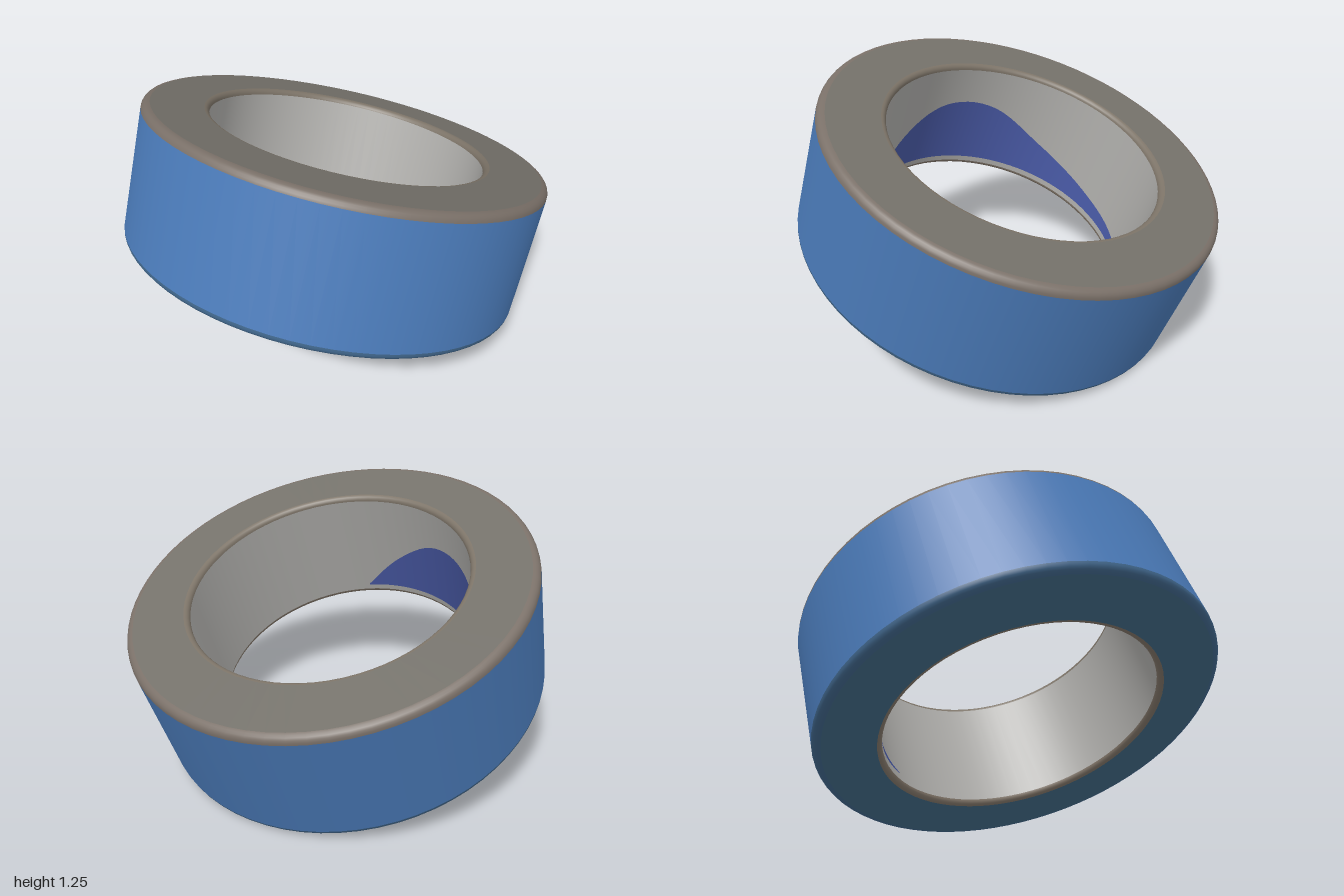
import * as THREE from 'three';

const R_OUT = 0.95, R_IN = 0.65, HALF = 0.317, FILLET = 0.035, INNER_FILLET = 0.025;

// Quarter arc in the (radius, height) plane
function arc(cx, cy, r, fromDeg, steps = 5) {
  return Array.from({ length: steps + 1 }, (_, i) => {
    const a = THREE.MathUtils.degToRad(fromDeg + (90 * i) / steps);
    return [cx + r * Math.cos(a), cy + r * Math.sin(a)];
  });
}

function lathe(name, points, color) {
  const geometry = new THREE.LatheGeometry(points.map(([x, y]) => new THREE.Vector2(x, y)), 72);
  const mesh = new THREE.Mesh(geometry, new THREE.MeshStandardMaterial({ color }));
  mesh.name = name;
  return mesh;
}

// Blue patch on the inner wall: [angle in degrees, top as a share of the wall height]
function innerPatch() {
  const outline = new THREE.SplineCurve([
    [132, 0.1], [150, 0.4], [172, 0.63], [197, 0.63], [225, 0.4], [255, 0.24], [285, 0.17], [312, 0.1],
  ].map(([a, t]) => new THREE.Vector2(a, t)));
  const cols = 48, rows = 2;
  const geometry = new THREE.PlaneGeometry(1, 1, cols, rows);
  const pos = geometry.attributes.position;
  for (let i = 0; i < pos.count; i++) {
    const p = outline.getPoint(pos.getX(i) + 0.5);
    const a = THREE.MathUtils.degToRad(p.x);
    const t = THREE.MathUtils.lerp(0.09, Math.max(p.y, 0.09), pos.getY(i) + 0.5);
    const r = R_IN - 0.004;
    pos.setXYZ(i, r * Math.cos(a), HALF * (2 * t - 1), r * Math.sin(a));
  }
  geometry.computeVertexNormals();
  const mesh = new THREE.Mesh(geometry, new THREE.MeshStandardMaterial({ color: 0x4a5ba8, side: THREE.DoubleSide }));
  mesh.name = 'innerBluePatch';
  return mesh;
}

export function createModel() {
  const group = new THREE.Group();
  group.name = 'tapeRoll';
  const ro = R_OUT - FILLET, yo = HALF - FILLET;
  const ri = R_IN + INNER_FILLET, yi = HALF - INNER_FILLET;

  group.add(
    // Flat surfaces
    lathe('outerWall', [[R_OUT, -yo], [R_OUT, yo]], 0x4a7ab8),
    lathe('topFace', [[ro, HALF], [ri, HALF]], 0x74716a),
    lathe('innerWall', [[R_IN, yi], [R_IN, -yi]], 0xb0afac),
    lathe('bottomFace', [[ri, -HALF], [ro, -HALF]], 0x426d8a),
    // Rounded rims
    lathe('topOuterRim', arc(ro, yo, FILLET, 0), 0x7a7068),
    lathe('topInnerRim', arc(ri, yi, INNER_FILLET, 90), 0x7d7468),
    lathe('bottomInnerRim', arc(ri, -yi, INNER_FILLET, 180), 0x85796c),
    lathe('bottomOuterRim', arc(ro, -yo, FILLET, 270), 0x42698f),
    innerPatch(),
  );

  // Tilt the roll so that it leans on its lower edge
  const axis = new THREE.Vector3(0.2, 0.59, -0.1).normalize();
  group.quaternion.setFromUnitVectors(new THREE.Vector3(0, 1, 0), axis);
  group.position.y = 0.62;
  return group;
}
